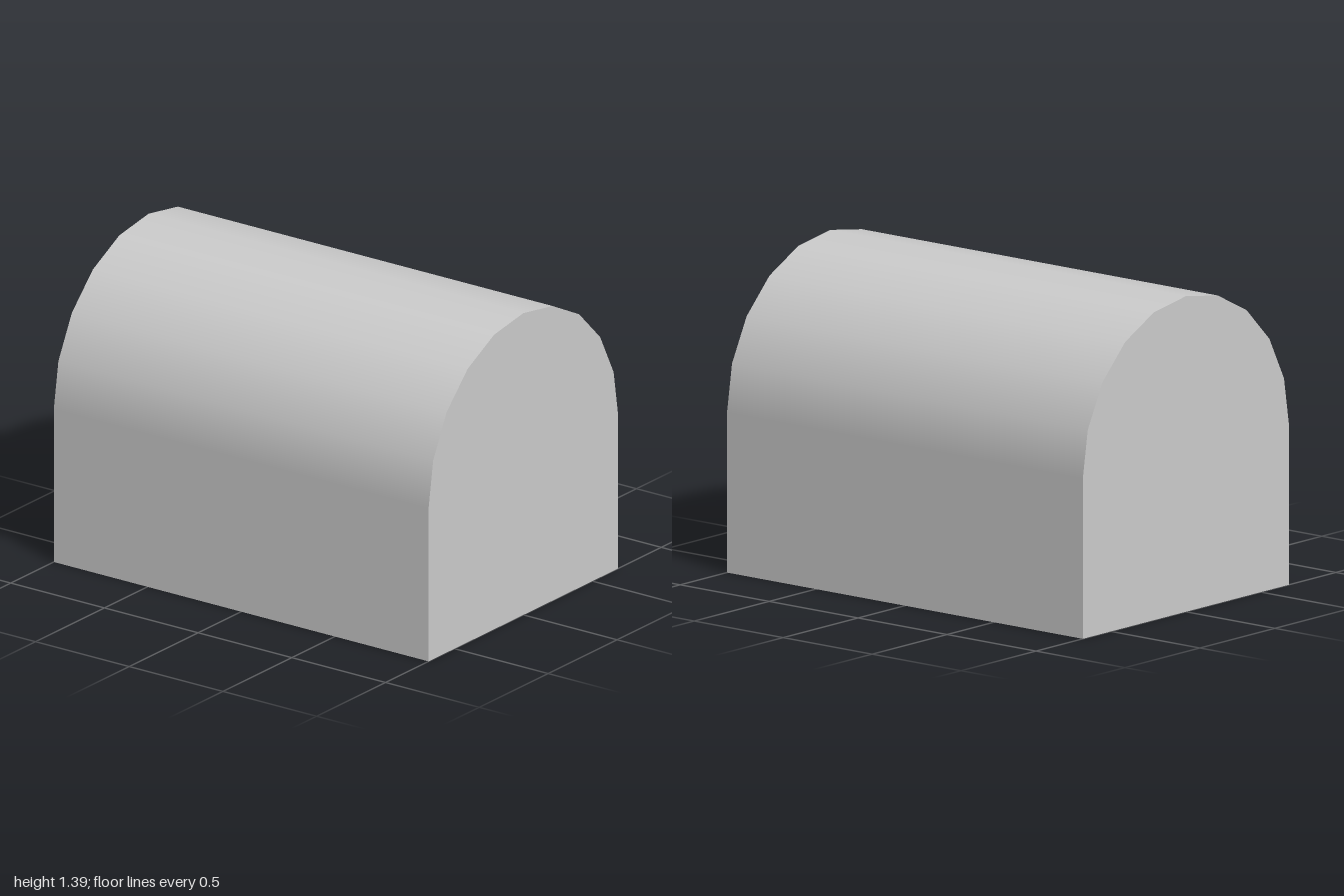
import * as THREE from 'three';

const LENGTH = 2;
const RADIUS = 0.688; // half the depth, and the radius of the lid
const SEAM = 0.703; // height where the lid meets the body

export function createModel() {
  const group = new THREE.Group();
  group.name = 'chest';
  const material = new THREE.MeshStandardMaterial({ color: 0xcccccc });

  // Rectangular body
  const body = new THREE.Mesh(new THREE.BoxGeometry(LENGTH, SEAM, RADIUS * 2), material);
  body.name = 'body';
  body.position.y = SEAM / 2;
  group.add(body);

  // Half-round lid: ten smooth-shaded segments with flat ends
  const lidGeometry = new THREE.CylinderGeometry(RADIUS, RADIUS, LENGTH, 10, 1, false, 0, Math.PI);
  lidGeometry.rotateZ(Math.PI / 2);
  const lid = new THREE.Mesh(lidGeometry, material);
  lid.name = 'lid';
  lid.position.y = SEAM;
  group.add(lid);

  return group;
}
